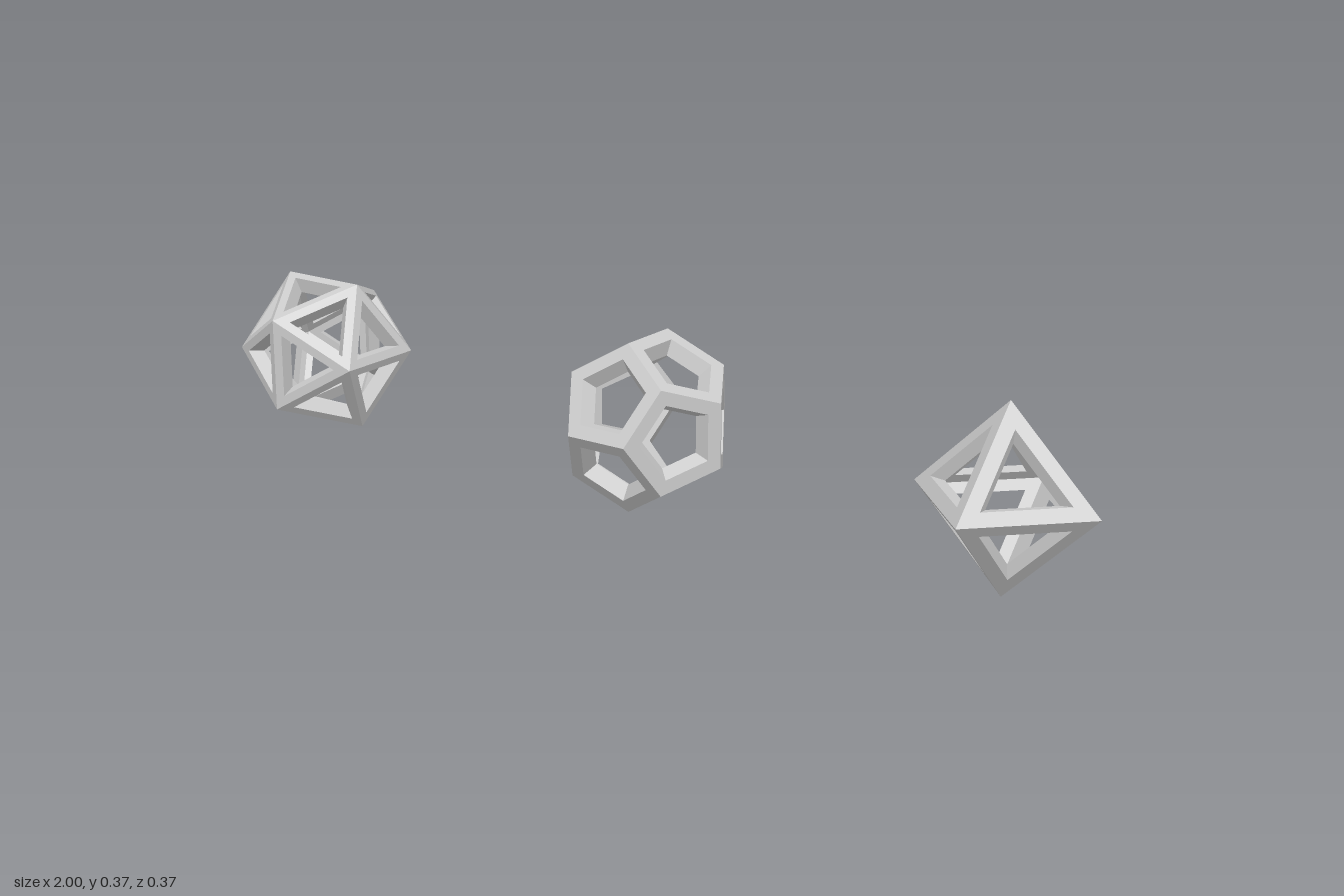
import * as THREE from 'three';

const PHI = (1 + Math.sqrt(5)) / 2;
const material = new THREE.MeshStandardMaterial({ color: 0xcccccc, flatShading: true });

// All sign variations of (a, b, c) and, if wanted, its cyclic rotations
function points(a, b, c, cyclic = true) {
  const list = [];
  const triples = cyclic ? [[a, b, c], [c, a, b], [b, c, a]] : [[a, b, c]];
  for (const t of triples)
    for (let s = 0; s < 8; s++) {
      const p = new THREE.Vector3(...t.map((v, i) => (s >> i & 1 ? -v : v)));
      if (!list.some(q => q.distanceTo(p) < 1e-6)) list.push(p);
    }
  return list;
}

// Hollow solid: every face is a plate with a window, joined to a smaller inner shell
function frame(name, verts, normals, size, windowScale, innerScale) {
  const pos = [];
  const quad = (a, b, c, d) => [a, b, c, a, c, d].forEach(p => pos.push(p.x, p.y, p.z));
  for (const dir of normals) {
    const n = dir.clone().normalize();
    const reach = Math.max(...verts.map(v => v.dot(n)));
    const corners = verts.filter(v => v.dot(n) > reach - 1e-4);
    const mid = n.clone().multiplyScalar(reach);

    // Sort the corners anticlockwise as seen from outside
    const u = corners[0].clone().sub(mid);
    const w = n.clone().cross(u);
    const angle = v => { const d = v.clone().sub(mid); return Math.atan2(d.dot(w), d.dot(u)); };
    corners.sort((a, b) => angle(a) - angle(b));

    const outer = corners.map(v => v.clone().multiplyScalar(size));
    const hole = corners.map(v => mid.clone().lerp(v, windowScale).multiplyScalar(size));
    const innerOuter = outer.map(v => v.clone().multiplyScalar(innerScale));
    const innerHole = hole.map(v => v.clone().multiplyScalar(innerScale));
    for (let i = 0; i < corners.length; i++) {
      const j = (i + 1) % corners.length;
      quad(outer[i], outer[j], hole[j], hole[i]);                          // outside plate
      quad(hole[i], hole[j], innerHole[j], innerHole[i]);                  // window wall
      quad(innerHole[i], innerHole[j], innerOuter[j], innerOuter[i]);      // inside plate
    }
  }
  const geo = new THREE.BufferGeometry();
  geo.setAttribute('position', new THREE.Float32BufferAttribute(pos, 3));
  geo.computeVertexNormals();
  const mesh = new THREE.Mesh(geo, material);
  mesh.name = name;
  return mesh;
}

export function createModel() {
  const group = new THREE.Group();
  group.name = 'polyhedronFrames';

  const cube = points(1, 1, 1, false);
  const icosa = points(0, 1, PHI);
  const dodeca = [...cube, ...points(0, PHI, 1 / PHI)];
  const octa = points(1, 0, 0);

  // Each solid's corners give the face directions of its dual
  const solids = [
    [frame('icosahedronFrame', icosa, dodeca, 0.0985, 0.68, 0.8), -0.841],
    [frame('dodecahedronFrame', dodeca, icosa, 0.1072, 0.705, 0.8), 0.025],
    [frame('octahedronFrame', octa, cube, 0.187, 0.64, 0.8), 0.813],
  ];
  for (const [mesh, x] of solids) {
    mesh.position.set(x, 0.188, 0);
    group.add(mesh);
  }
  return group;
}
